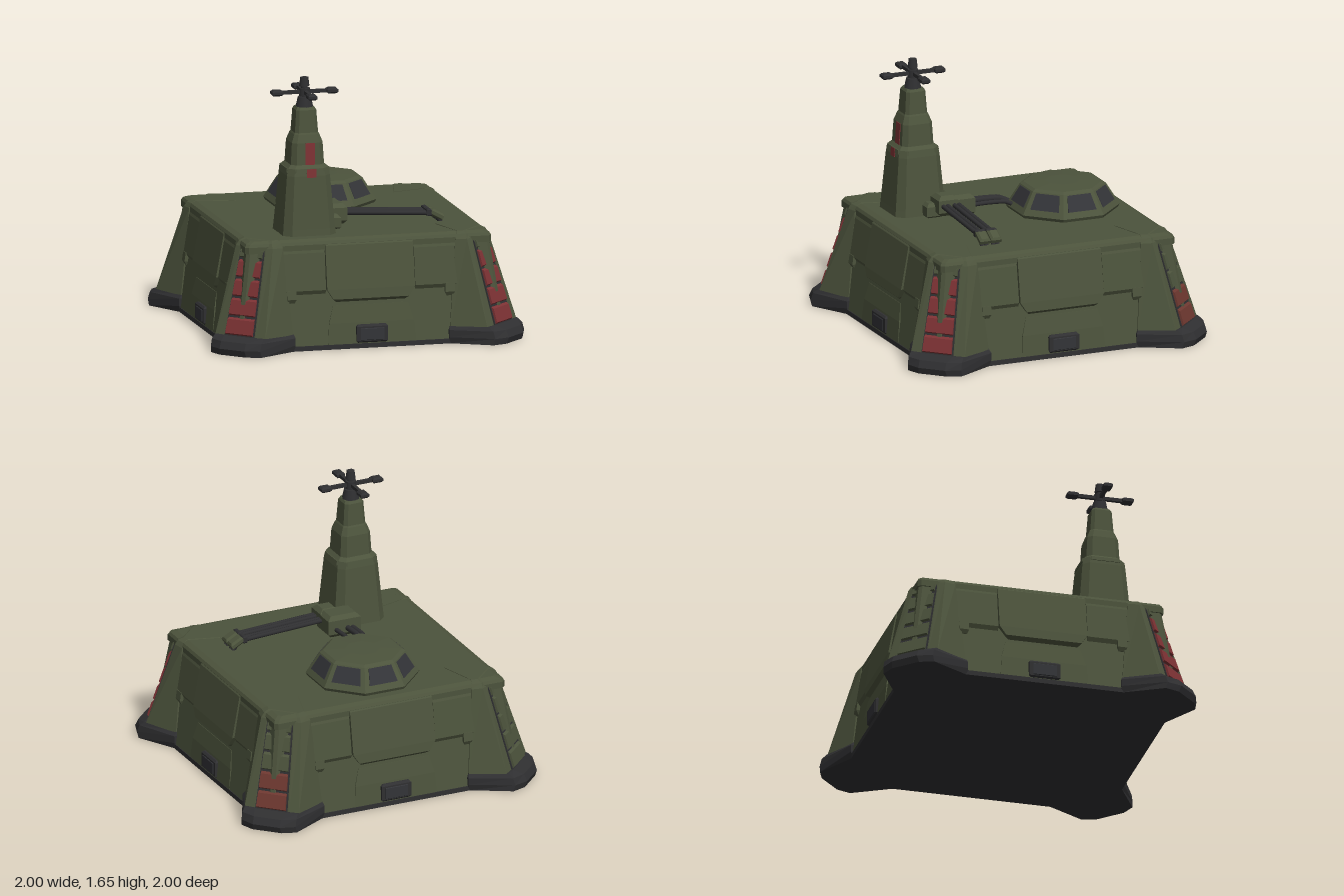
import * as THREE from 'three';

const mat = (name, color) => {
  const m = new THREE.MeshStandardMaterial({ color });
  m.name = name;
  return m;
};

// Skin through rings of [x, y, z] points, listed counter-clockwise from above, capped at both ends.
function loft(rings) {
  const p = [], n = rings[0].length;
  const tri = (a, b, c) => p.push(...a, ...b, ...c);
  for (let i = 0; i < rings.length - 1; i++) {
    for (let j = 0; j < n; j++) {
      const k = (j + 1) % n, lo = rings[i], hi = rings[i + 1];
      tri(lo[j], lo[k], hi[k]);
      tri(lo[j], hi[k], hi[j]);
    }
  }
  const bottom = rings[0], top = rings[rings.length - 1];
  for (let j = 1; j < n - 1; j++) {
    tri(bottom[0], bottom[j + 1], bottom[j]);
    tri(top[0], top[j], top[j + 1]);
  }
  const g = new THREE.BufferGeometry();
  g.setAttribute('position', new THREE.Float32BufferAttribute(p, 3));
  g.computeVertexNormals();
  return g;
}

// Square ring with cut corners
const square = (y, h, c = 0.02) => [
  [-h, h - c], [-h + c, h], [h - c, h], [h, h - c],
  [h, -h + c], [h - c, -h], [-h + c, -h], [-h, -h + c],
].map(([x, z]) => [x, y, z]);

// Octagon ring with flats facing the axes
const octagon = (y, r) => Array.from({ length: 8 }, (_, i) => {
  const a = (i + 0.5) * Math.PI / 4, R = r / Math.cos(Math.PI / 8);
  return [Math.cos(a) * R, y, -Math.sin(a) * R];
});

export function createModel() {
  const olive = mat('olive', 0x4c533c);
  const dark = mat('charcoal', 0x2f2f31);
  const glass = mat('window grey', 0x333438);
  const red = mat('dull red', 0x7d3234);
  const rust = mat('faded red', 0x6e3830);
  const model = new THREE.Group();
  model.name = 'bunker';

  const add = (parent, name, geometry, material, x = 0, y = 0, z = 0) => {
    const m = new THREE.Mesh(geometry, material);
    m.name = name;
    m.position.set(x, y, z);
    parent.add(m);
    return m;
  };
  const group = (name, x = 0, y = 0, z = 0) => {
    const g = new THREE.Group();
    g.name = name;
    g.position.set(x, y, z);
    model.add(g);
    return g;
  };
  const box = (w, h, d, c = 0.012) => loft([
    [-h / 2, c], [-h / 2 + c, 0], [h / 2 - c, 0], [h / 2, c],
  ].map(([y, s]) => [[-1, 1], [1, 1], [1, -1], [-1, -1]].map(([a, b]) => [a * (w / 2 - s), y, b * (d / 2 - s)])));
  const tube = (pts, r) => new THREE.TubeGeometry(
    new THREE.CatmullRomCurve3(pts.map(p => new THREE.Vector3(...p)), false, 'catmullrom', 0.2), 20, r, 8);

  // Main body
  add(model, 'baseSlab', loft([square(0, 0.865), square(0.03, 0.865)]), dark);
  add(model, 'walls', loft([square(0.03, 0.86), square(0.65, 0.77)]), olive);
  add(model, 'deck', loft([square(0.61, 0.785), square(0.65, 0.785), square(0.668, 0.775), square(0.68, 0.74)]), olive);

  // Wall armour, the same on all four sides
  const wallZ = y => 0.86 - (y - 0.03) * 0.145;
  const plate = (rows) => loft(rows.map(([y, x0, x1, out]) => {
    const z = wallZ(y);
    return [[x0, y, z + out], [x1, y, z + out], [x1, y, z - 0.04], [x0, y, z - 0.04]];
  }));
  for (let i = 0; i < 4; i++) {
    const side = group('wallSide');
    side.rotation.y = i * Math.PI / 2;
    add(side, 'centrePlate', plate([[0.29, -0.22, 0.22, 0], [0.31, -0.24, 0.24, 0.028],
      [0.37, -0.28, 0.28, 0.03], [0.64, -0.28, 0.28, 0.02], [0.67, -0.27, 0.27, 0]]), olive);
    add(side, 'lowerPlate', plate([[0.03, -0.28, 0.28, 0.002], [0.16, -0.27, 0.27, 0.008], [0.27, -0.24, 0.24, 0.003]]), olive);
    for (const s of [-1, 1]) {
      const span = (a, b) => s > 0 ? [a, b] : [-b, -a];
      add(side, 'sidePlate', plate([[0.345, ...span(0.285, 0.6), 0], [0.37, ...span(0.285, 0.6), 0.018],
        [0.6, ...span(0.285, 0.6), 0.014], [0.64, ...span(0.285, 0.6), 0.004]]), olive);
      add(side, 'bracket', plate([[0.295, ...span(0.485, 0.525), 0.004], [0.32, ...span(0.475, 0.535), 0.022],
        [0.375, ...span(0.475, 0.535), 0.022]]), olive);
    }
    add(side, 'ventFrame', box(0.2, 0.115, 0.05), dark, 0, 0.09, 0.847);
    add(side, 'vent', box(0.15, 0.075, 0.01, 0.003), glass, 0, 0.088, 0.872);
  }

  // Corner buttresses: half outline A, B, C mirrored over the diagonal
  const cornerRing = (y, a, b, c, k = 0.5) =>
    [a, b, c, [...c].reverse(), [...b].reverse(), [...a].reverse(), [k, k]].map(([x, z]) => [x, y, z]);
  const faceD = y => 0.84 - (y - 0.11) * 0.227;
  const strip = (y0, y1, w0, w1, out, bevel) => {
    const rows = [[y0, 0], [y0 + bevel, out], [y1 - bevel, out], [y1, 0]];
    return loft(rows.map(([y, o]) => {
      const w = w0 + (w1 - w0) * (y - y0) / (y1 - y0), d = faceD(y) + o, e = faceD(y) - 0.03;
      return [[d - w, y, d + w], [d + w, y, d - w], [e + w, y, e - w], [e - w, y, e + w]];
    }));
  };
  // Painted cells per corner, counted from the bottom: front left, back left, back right, front right
  const paint = [[4, red], [2, rust], [0, red], [4, red]];
  for (let i = 0; i < 4; i++) {
    const corner = group('cornerButtress');
    corner.rotation.y = i * Math.PI / 2;
    add(corner, 'buttressFoot', loft([
      cornerRing(0, [0.495, 0.86], [0.74, 0.995], [0.83, 0.965]),
      cornerRing(0.04, [0.49, 0.87], [0.75, 1.0], [0.845, 0.97]),
      cornerRing(0.085, [0.49, 0.87], [0.74, 0.99], [0.83, 0.955]),
      cornerRing(0.11, [0.5, 0.85], [0.72, 0.965], [0.77, 0.92])]), dark);
    add(corner, 'buttress', loft([
      cornerRing(0.1, [0.5, 0.855], [0.71, 0.962], [0.76, 0.92]),
      cornerRing(0.64, [0.55, 0.79], [0.62, 0.805], [0.655, 0.783]),
      cornerRing(0.668, [0.56, 0.775], [0.62, 0.785], [0.645, 0.765]),
      cornerRing(0.683, [0.57, 0.74], [0.61, 0.75], [0.625, 0.735])]), olive);
    add(corner, 'ladderBacking', strip(0.105, 0.645, 0.074, 0.059, 0.004, 0.004), dark);
    const step = 0.115;
    for (let r = 0; r < 5; r++) {
      const y0 = 0.112 + r * step, y1 = r === 4 ? 0.638 : y0 + step - 0.004;
      const w = y => 0.068 - (y - 0.11) * 0.028;
      add(corner, 'ladderCell', strip(y0, y1, w(y0), w(y1), 0.014, 0.014), r < paint[i][0] ? paint[i][1] : olive);
    }
  }

  // Observation dome with a window on each of its eight faces
  const dome = group('dome', -0.005, 0, -0.37);
  add(dome, 'domeShell', loft([octagon(0.67, 0.31), octagon(0.7, 0.325), octagon(0.725, 0.31),
    octagon(0.835, 0.245), octagon(0.848, 0.225), octagon(0.856, 0.1)]), olive);
  for (let i = 0; i < 8; i++) {
    const holder = new THREE.Group();
    holder.name = 'windowHolder';
    holder.rotation.y = i * Math.PI / 4;
    dome.add(holder);
    const r = y => 0.31 - (y - 0.725) * 0.591;
    const ring = (y, w) => [[-w, y, r(y) + 0.004], [w, y, r(y) + 0.004], [w, y, r(y) - 0.004], [-w, y, r(y) - 0.004]];
    add(holder, 'domeWindow', loft([ring(0.737, 0.095), ring(0.828, 0.077)]), glass);
  }

  // Stepped tower
  const tower = group('tower', -0.335, 0, 0.495);
  add(tower, 'towerShaft', loft([[0.67, 0.17], [0.72, 0.165], [1.05, 0.137], [1.095, 0.128], [1.115, 0.106],
    [1.25, 0.098], [1.3, 0.08], [1.31, 0.074], [1.45, 0.064], [1.465, 0.055]].map(([y, h]) => square(y, h, h * 0.28))), olive);
  add(tower, 'towerCollar', loft([square(1.07, 0.139, 0.05), square(1.095, 0.134, 0.05)]), olive);
  const stripe = (y0, z0, y1, z1) => loft([[y0, z0], [y1, z1]].map(([y, z]) =>
    [[-0.02, y, z + 0.004], [0.04, y, z + 0.004], [0.04, y, z - 0.004], [-0.02, y, z - 0.004]]));
  add(tower, 'towerStripeLow', stripe(1.04, 0.138, 1.093, 0.134), red);
  add(tower, 'towerStripeHigh', stripe(1.115, 0.106, 1.25, 0.098), red);

  // Sensor head with four arms
  add(tower, 'neck', new THREE.CylinderGeometry(0.042, 0.058, 0.07, 8), dark, 0, 1.49, 0);
  add(tower, 'mast', new THREE.CylinderGeometry(0.02, 0.02, 0.12, 8), dark, 0, 1.57, 0);
  add(tower, 'hub', new THREE.CylinderGeometry(0.035, 0.035, 0.05, 8), dark, 0, 1.555, 0);
  add(tower, 'headCap', new THREE.CylinderGeometry(0.026, 0.033, 0.055, 8), dark, 0, 1.62, 0);
  for (let i = 0; i < 4; i++) {
    const arm = new THREE.Group();
    arm.name = 'sensorArm';
    arm.rotation.y = i * Math.PI / 2;
    tower.add(arm);
    add(arm, 'armRod', new THREE.BoxGeometry(0.13, 0.022, 0.022), dark, 0.09, 1.556, 0);
    add(arm, 'armPod', box(0.07, 0.036, 0.056, 0.01), dark, 0.175, 1.556, 0);
  }

  // Junction box beside the tower
  const pipes = group('pipework');
  add(pipes, 'junctionBox', box(0.22, 0.14, 0.17, 0.025), olive, -0.155, 0.75, 0.285);
  add(pipes, 'junctionSide', box(0.13, 0.13, 0.13, 0.025), olive, -0.11, 0.76, 0.38);
  add(pipes, 'junctionFoot', box(0.12, 0.1, 0.1, 0.02), olive, -0.16, 0.72, 0.45);

  // Twin pipes running across the deck to their elbows
  for (const z of [0.325, 0.4]) {
    for (const dz of [-0.014, 0.014]) {
      add(pipes, 'deckPipe', tube([[-0.07, 0.765, z + dz], [0.2, 0.75, z + dz], [0.46, 0.735, z + dz],
        [0.53, 0.715, z + dz], [0.555, 0.675, z + dz]], 0.015), dark);
    }
    const elbow = add(pipes, 'pipeElbow', box(0.09, 0.045, 0.07, 0.012), olive, 0.53, 0.722, z);
    elbow.rotation.z = -0.5;
    add(pipes, 'pipeClamp', box(0.03, 0.045, 0.07, 0.006), dark, 0.48, 0.738, z);
  }

  // Pipes running to the dome
  for (const [x, r] of [[-0.215, 0.015], [-0.183, 0.018], [-0.105, 0.014]]) {
    add(pipes, 'domePipe', tube([[x + 0.01, 0.735, 0.24], [x, 0.735, 0.1], [x + 0.01, 0.732, -0.02], [x + 0.05, 0.7, -0.1]], r), dark);
  }
  return model;
}
